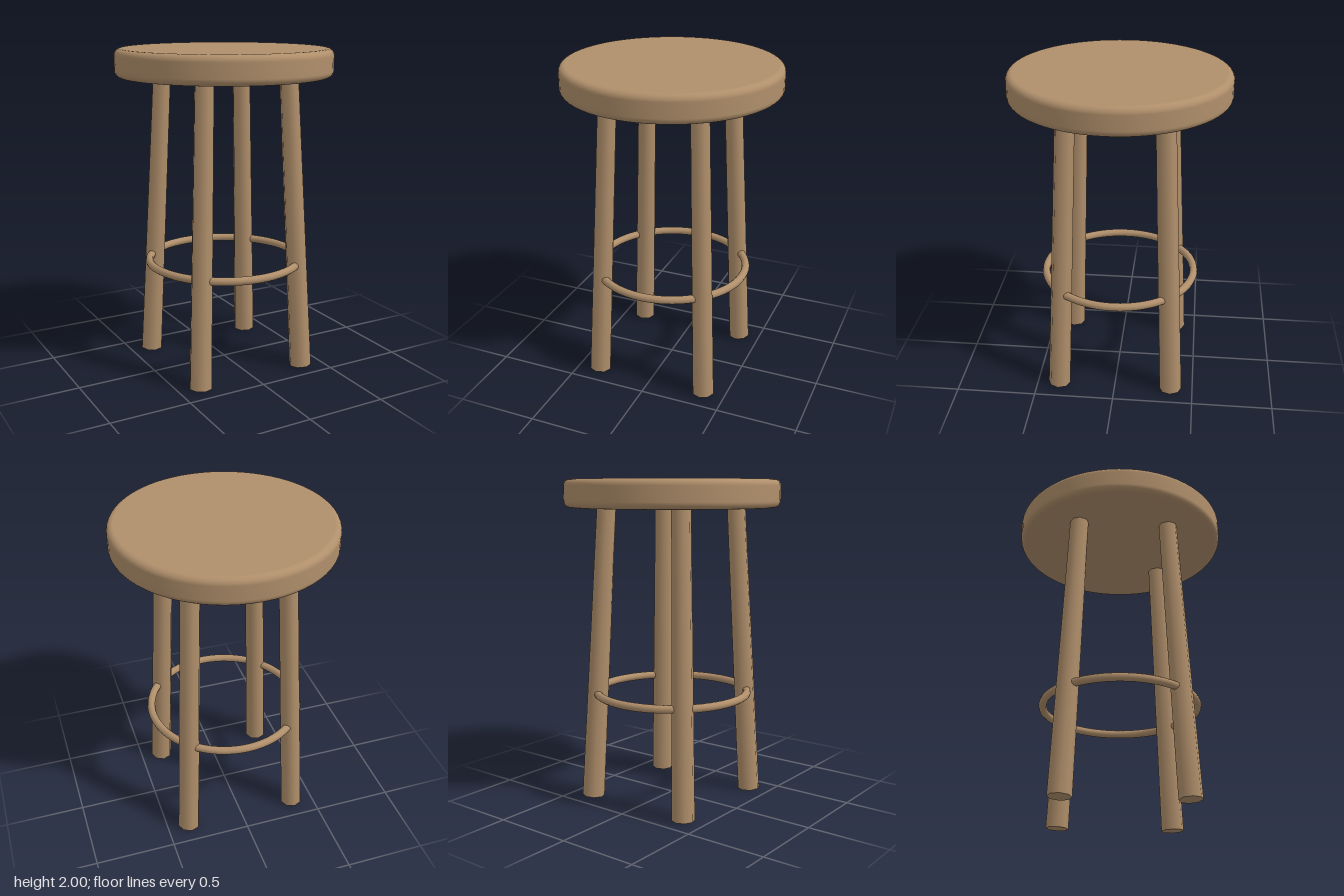
import * as THREE from 'three';

export function createModel() {
  const model = new THREE.Group();
  const wood = new THREE.MeshStandardMaterial({ color: 0xb08f6b });
  wood.name = 'light wood';

  const add = (name, geometry) => {
    const mesh = new THREE.Mesh(geometry, wood);
    mesh.name = name;
    model.add(mesh);
    return mesh;
  };

  // Round seat with softened upper and lower rims
  const R = 0.662, bottom = 1.83, top = 2, r = 0.04;
  const profile = [new THREE.Vector2(0, bottom)];
  const addRim = (cy, start) => {
    for (let i = 0; i <= 6; i++) {
      const a = start + (i / 6) * Math.PI / 2;
      profile.push(new THREE.Vector2(R - r + Math.cos(a) * r, cy + Math.sin(a) * r));
    }
  };
  addRim(bottom + r, -Math.PI / 2);
  addRim(top - r, 0);
  profile.push(new THREE.Vector2(0, top));
  add('seat', new THREE.LatheGeometry(profile, 64));

  // Four splayed, tapering legs
  const up = new THREE.Vector3(0, 1, 0);
  for (const [sx, sz, name] of [
    [1, 1, 'frontLeftLeg'], [-1, 1, 'frontRightLeg'],
    [1, -1, 'backLeftLeg'], [-1, -1, 'backRightLeg'],
  ]) {
    const foot = new THREE.Vector3(0.36 * sx, 0.005, 0.36 * sz);
    const head = new THREE.Vector3(0.284 * sx, 1.85, 0.284 * sz);
    const axis = head.clone().sub(foot);
    const leg = add(name, new THREE.CylinderGeometry(0.058, 0.07, axis.length(), 8));
    leg.position.copy(foot).add(head).multiplyScalar(0.5);
    leg.quaternion.setFromUnitVectors(up, axis.normalize());
  }

  // Foot ring running through the legs
  const ring = add('footRing', new THREE.TorusGeometry(0.475, 0.025, 10, 64));
  ring.rotation.x = Math.PI / 2;
  ring.position.y = 0.675;

  return model;
}
